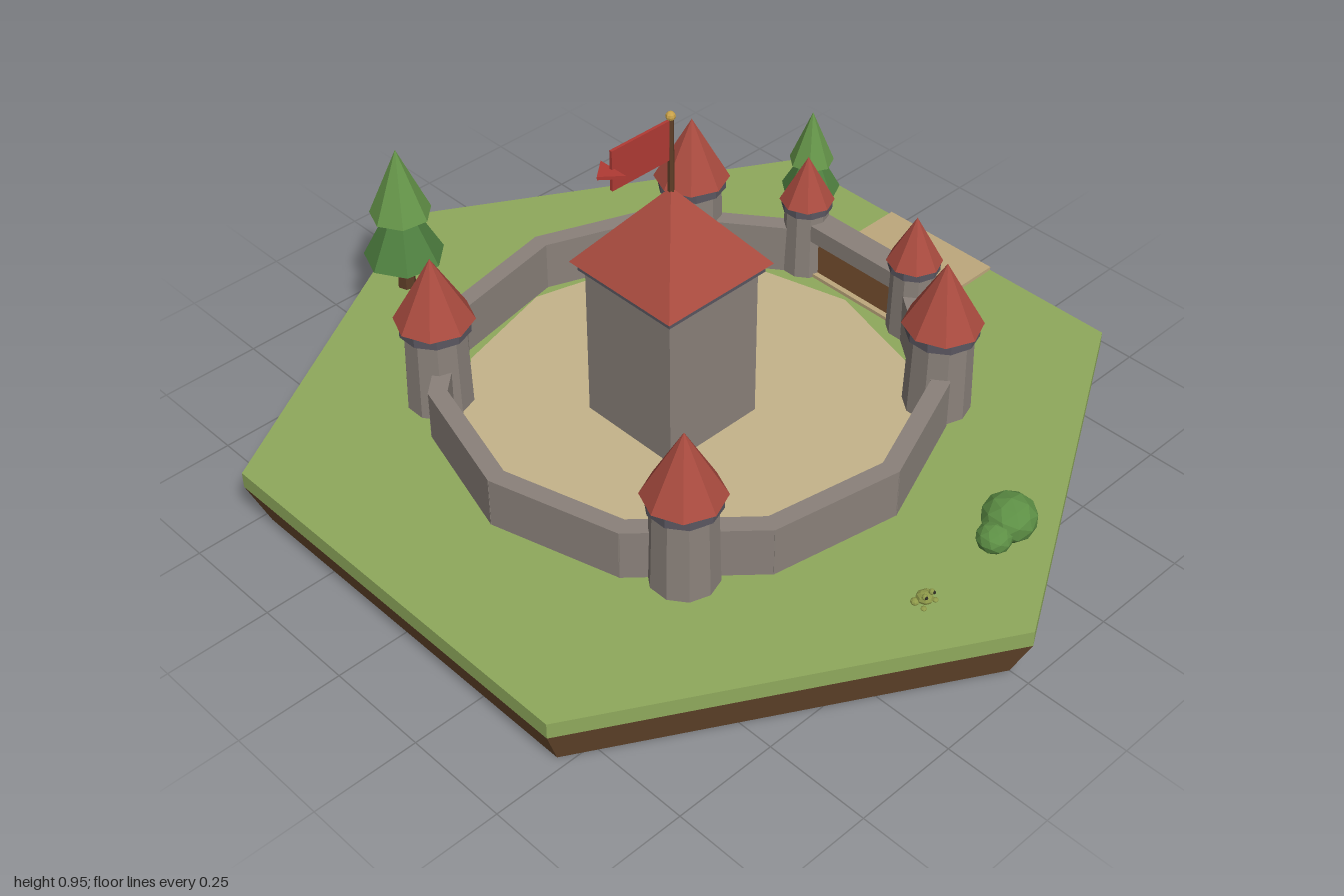
import * as THREE from 'three';

const mat = (color) => new THREE.MeshStandardMaterial({ color, flatShading: true });
const M = {
  dirt: mat(0x6f4e31), grass: mat(0x8fa95c), sand: mat(0xc5b38a), path: mat(0xbda77c),
  stone: mat(0x8a817a), trim: mat(0x5a5760), roof: mat(0xa94b3f), wood: mat(0x7a5230),
  trunk: mat(0x5d3d27), leaf: mat(0x4f8040), leafTop: mat(0x66964a), bush: mat(0x5d8f45),
  flag: mat(0xb03a34), gold: mat(0xc9a24a), frog: mat(0x8f9a4a), eye: mat(0x2c2a22),
};

function add(parent, name, geometry, material, x = 0, y = 0, z = 0) {
  const mesh = new THREE.Mesh(geometry, material);
  mesh.name = name;
  mesh.position.set(x, y, z);
  parent.add(mesh);
  return mesh;
}

function group(parent, name, x = 0, y = 0, z = 0) {
  const g = new THREE.Group();
  g.name = name;
  g.position.set(x, y, z);
  parent.add(g);
  return g;
}

// Prism or cone standing on height y0
function drum(parent, name, material, rTop, rBottom, y0, y1, sides) {
  return add(parent, name, new THREE.CylinderGeometry(rTop, rBottom, y1 - y0, sides), material, 0, (y0 + y1) / 2, 0);
}

function box(parent, name, material, w, h, d, x, y, z) {
  return add(parent, name, new THREE.BoxGeometry(w, h, d), material, x, y, z);
}

const GROUND = 0.15;

function tower(parent, name, x, z, r, bodyTop, ringTop, tip, roofR) {
  const g = group(parent, name, x, 0, z);
  drum(g, 'towerBody', M.stone, r * 0.93, r, GROUND, bodyTop, 10);
  drum(g, 'towerRing', M.trim, r * 1.07, r * 1.07, bodyTop, ringTop, 10);
  drum(g, 'towerRoof', M.roof, 0, roofR, ringTop, tip, 8);
}

function tree(parent, x, z, trunkR, tiers, turn) {
  const g = group(parent, 'tree', x, 0, z);
  g.rotation.y = turn;
  drum(g, 'trunk', M.trunk, trunkR * 0.8, trunkR, GROUND, tiers[0][1] + 0.02, 6);
  tiers.forEach(([r, y0, y1], i) => drum(g, 'foliage', i ? M.leafTop : M.leaf, 0, r, y0, y1, 7));
}

function island(parent) {
  const g = group(parent, 'island');
  drum(g, 'dirt', M.dirt, 1, 0.95, 0, 0.11, 6);
  drum(g, 'grass', M.grass, 1, 1, 0.11, GROUND, 6);
  drum(g, 'courtyard', M.sand, 0.52, 0.52, GROUND - 0.01, 0.156, 12);
  box(g, 'path', M.path, 0.33, 0.018, 0.32, 0.701, 0.15, 0);
}

// Ring of straight wall pieces, left open on the gate side
function walls(parent) {
  const g = group(parent, 'curtainWall');
  const start = THREE.MathUtils.degToRad(21), count = 10;
  const step = (Math.PI * 2 - 2 * start) / count;
  const point = (i) => new THREE.Vector2(Math.cos(start + i * step), Math.sin(start + i * step)).multiplyScalar(0.56);
  for (let i = 0; i < count; i++) {
    const a = point(i), b = point(i + 1);
    const piece = box(g, 'wallPiece', M.stone, a.distanceTo(b) + 0.014, 0.125, 0.042,
      (a.x + b.x) / 2, GROUND + 0.0625, (a.y + b.y) / 2);
    piece.rotation.y = -Math.atan2(b.y - a.y, b.x - a.x);
  }
}

function gate(parent) {
  const g = group(parent, 'gate');
  box(g, 'gateLintel', M.stone, 0.066, 0.045, 0.3, 0.562, 0.28, 0);
  box(g, 'gateDoor', M.wood, 0.025, 0.108, 0.25, 0.562, 0.204, 0);
  for (const s of [-1, 1]) tower(g, 'gateTower', 0.56, s * 0.17, 0.057, 0.325, 0.345, 0.465, 0.066);
}

function keep(parent) {
  const g = group(parent, 'keep', -0.05, 0, 0);
  box(g, 'keepBody', M.stone, 0.262, 0.395, 0.262, 0, 0.3475, 0);
  box(g, 'keepTrim', M.trim, 0.284, 0.025, 0.284, 0, 0.555, 0);
  const roof = drum(g, 'keepRoof', M.roof, 0, 0.155 * Math.SQRT2, 0.565, 0.762, 4);
  roof.rotation.y = Math.PI / 4;
  // Flag on its pole
  drum(g, 'flagPole', M.trunk, 0.007, 0.008, 0.72, 0.935, 6);
  add(g, 'poleKnob', new THREE.SphereGeometry(0.011, 8, 6), M.gold, 0, 0.938, 0);
  box(g, 'flag', M.flag, 0.163, 0.097, 0.007, -0.085, 0.882, 0);
  const tail = drum(g, 'flagTail', M.flag, 0.03, 0.03, 0.878, 0.886, 3);
  tail.rotation.y = -Math.PI / 2;
  tail.position.x = -0.175;
  tail.scale.x = 1.45;
}

function bush(parent, x, y, z, r) {
  add(parent, 'bush', new THREE.IcosahedronGeometry(r, 1), M.bush, x, y, z).scale.y = 0.85;
}

function frog(parent) {
  const g = group(parent, 'frog', -0.097, GROUND, 0.79);
  const blob = (name, r, material, x, y, z) => add(g, name, new THREE.SphereGeometry(r, 8, 6), material, x, y, z);
  blob('frogBody', 0.018, M.frog, 0, 0.015, 0).scale.set(1, 0.75, 1.1);
  for (const s of [-1, 1]) {
    blob('frogEye', 0.007, M.frog, s * 0.011, 0.029, 0.009);
    blob('frogPupil', 0.004, M.eye, s * 0.012, 0.03, 0.014);
    blob('frogFrontFoot', 0.007, M.frog, s * 0.018, 0.005, 0.014).scale.y = 0.6;
    blob('frogBackLeg', 0.01, M.frog, s * 0.018, 0.008, -0.01).scale.y = 0.8;
  }
}

export function createModel() {
  const model = new THREE.Group();
  model.name = 'castleIsland';
  island(model);
  walls(model);
  for (const sx of [-1, 1])
    for (const sz of [-1, 1])
      tower(model, 'cornerTower', sx * 0.395, sz * 0.395, 0.078, 0.355, 0.38, 0.542, 0.092);
  gate(model);
  keep(model);
  // Planting and the small creature on the grass
  tree(model, -0.185, -0.78, 0.023, [[0.098, 0.24, 0.43], [0.075, 0.362, 0.54]], 0.3);
  tree(model, 0.73, -0.315, 0.018, [[0.074, 0.224, 0.36], [0.056, 0.305, 0.445]], 0.9);
  bush(model, 0.18, 0.2, 0.78, 0.062);
  bush(model, 0.12, 0.188, 0.79, 0.04);
  frog(model);
  return model;
}
